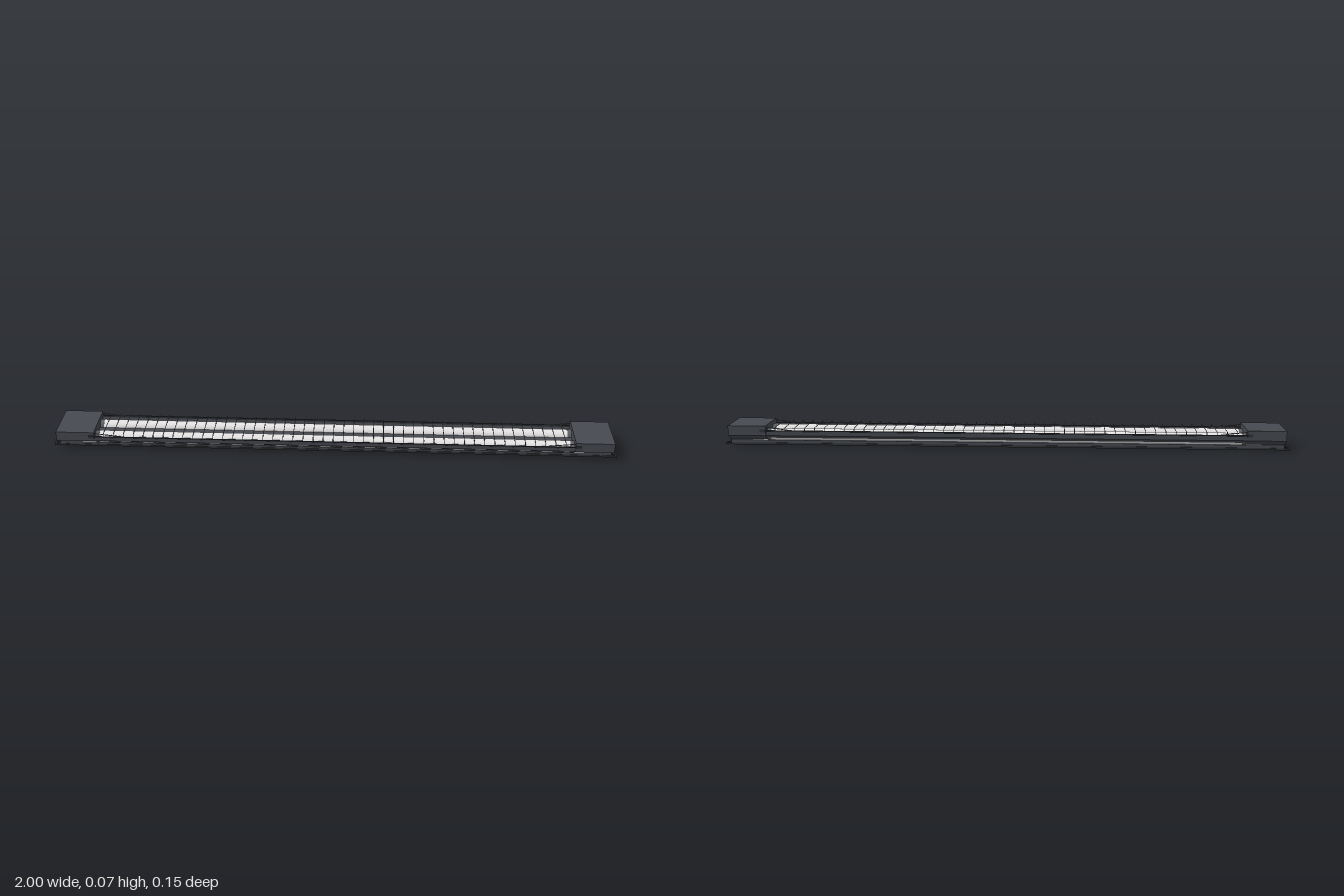
import * as THREE from 'three';

const mat = (name, color, side = THREE.FrontSide) => {
  const m = new THREE.MeshStandardMaterial({ color, side });
  m.name = name;
  return m;
};

export function createModel() {
  const root = new THREE.Group();
  root.name = 'twinTubeLight';
  const housing = mat('housingGrey', 0x464950);
  const dark = mat('darkGrey', 0x303236);
  const glass = mat('tubeWhite', 0xe6e4e4);
  const wire = mat('wireGrey', 0x5a5d62);

  const add = (name, geo, m, x = 0, y = 0, z = 0) => {
    const mesh = new THREE.Mesh(geo, m);
    mesh.name = name;
    mesh.position.set(x, y, z);
    root.add(mesh);
    return mesh;
  };
  const box = (name, w, h, d, m, x, y, z) => add(name, new THREE.BoxGeometry(w, h, d), m, x, y, z);
  // symmetric cross-section, given as half outline [z, y], extruded along x
  const profile = (half, x0, x1) => {
    const pts = [...half, ...half.slice().reverse().map(([z, y]) => [-z, y])];
    const s = new THREE.Shape(pts.map(([z, y]) => new THREE.Vector2(z, y)));
    const g = new THREE.ExtrudeGeometry(s, { depth: x1 - x0, bevelEnabled: false });
    return g.rotateY(Math.PI / 2).translate(x0, 0, 0);
  };
  const rod = (name, r, len, m, x, y, z, sides = 16) =>
    add(name, new THREE.CylinderGeometry(r, r, len, sides).rotateZ(Math.PI / 2), m, x, y, z);

  // long tray with a trough for each tube and a low centre ridge
  add('tray', profile([
    [0.041, 0.006], [0.041, 0.018], [0.071, 0.039], [0.071, 0.056],
    [0.067, 0.056], [0.061, 0.034], [0.046, 0.018], [0.028, 0.018], [0.014, 0.042],
  ], -0.846, 0.846), housing);
  add('baseRail', profile([[0.043, 0], [0.043, 0.007]], -0.96, 0.96), dark);

  // end caps
  for (const s of [-1, 1]) {
    add('endCap', profile([
      [0.042, 0.006], [0.042, 0.019], [0.074, 0.039], [0.074, 0.074],
    ], s < 0 ? -0.98 : 0.845, s < 0 ? -0.845 : 0.98), housing);
    // cable socket on the end face
    box('socketFrame', 0.006, 0.014, 0.02, dark, s * 0.981, 0.028, 0);
    box('socketPlug', 0.006, 0.006, 0.012, housing, s * 0.983, 0.028, 0);
    box('socketLip', 0.006, 0.003, 0.02, dark, s * 0.981, 0.018, 0);
  }

  // slotted mounting feet
  const foot = new THREE.Shape();
  foot.moveTo(0, -0.014).lineTo(0.05, -0.014).lineTo(0.05, 0.014).lineTo(0, 0.014).closePath();
  const slot = new THREE.Path();
  slot.absellipse(0.04, 0, 0.006, 0.007, 0, Math.PI * 2, true);
  foot.holes.push(slot);
  const footGeo = new THREE.ExtrudeGeometry(foot, { depth: 0.006, bevelEnabled: false, curveSegments: 8 })
    .rotateX(-Math.PI / 2);
  for (const s of [-1, 1]) for (const t of [-1, 1]) {
    const f = add('mountingFoot', footGeo, dark, s * 0.95, 0, t * 0.03);
    if (s < 0) f.rotation.y = Math.PI;
  }

  for (const t of [-1, 1]) {
    // lamps and their holders
    rod('lampTube', 0.021, 1.67, glass, 0, 0.038, t * 0.037, 24);
    for (const s of [-1, 1]) rod('lampHolder', 0.0215, 0.014, wire, s * 0.838, 0.038, t * 0.037, 24);
    // guard side rails and pale seam under the tray
    rod('guardRail', 0.0022, 1.69, dark, 0, 0.057, t * 0.073, 8);
    box('traySeam', 1.8, 0.002, 0.002, glass, 0, 0.0185, t * 0.042);
    // clips on the cap sides
    for (const s of [-1, 1]) box('capClip', 0.02, 0.01, 0.004, dark, s * 0.855, 0.057, t * 0.075);
    // sloping end stays of the guard
    for (const s of [-1, 1]) {
      const stay = new THREE.LineCurve3(
        new THREE.Vector3(s * 0.845, 0.068, t * 0.069), new THREE.Vector3(s * 0.74, 0.056, t * 0.069));
      add('guardStay', new THREE.TubeGeometry(stay, 1, 0.0015, 6), wire);
    }
  }

  // wire hoops over the lamps
  const path = new THREE.CurvePath();
  const pts = [[-0.073, 0.056], [-0.066, 0.068], [0.066, 0.068], [0.073, 0.056]]
    .map(([z, y]) => new THREE.Vector3(0, y, z));
  for (let i = 0; i < 3; i++) path.add(new THREE.LineCurve3(pts[i], pts[i + 1]));
  const hoop = new THREE.TubeGeometry(path, 24, 0.0012, 6);
  const n = 47;
  for (let i = 0; i < n; i++) add('guardHoop', hoop, wire, (i - (n - 1) / 2) * 0.0353);

  return root;
}
